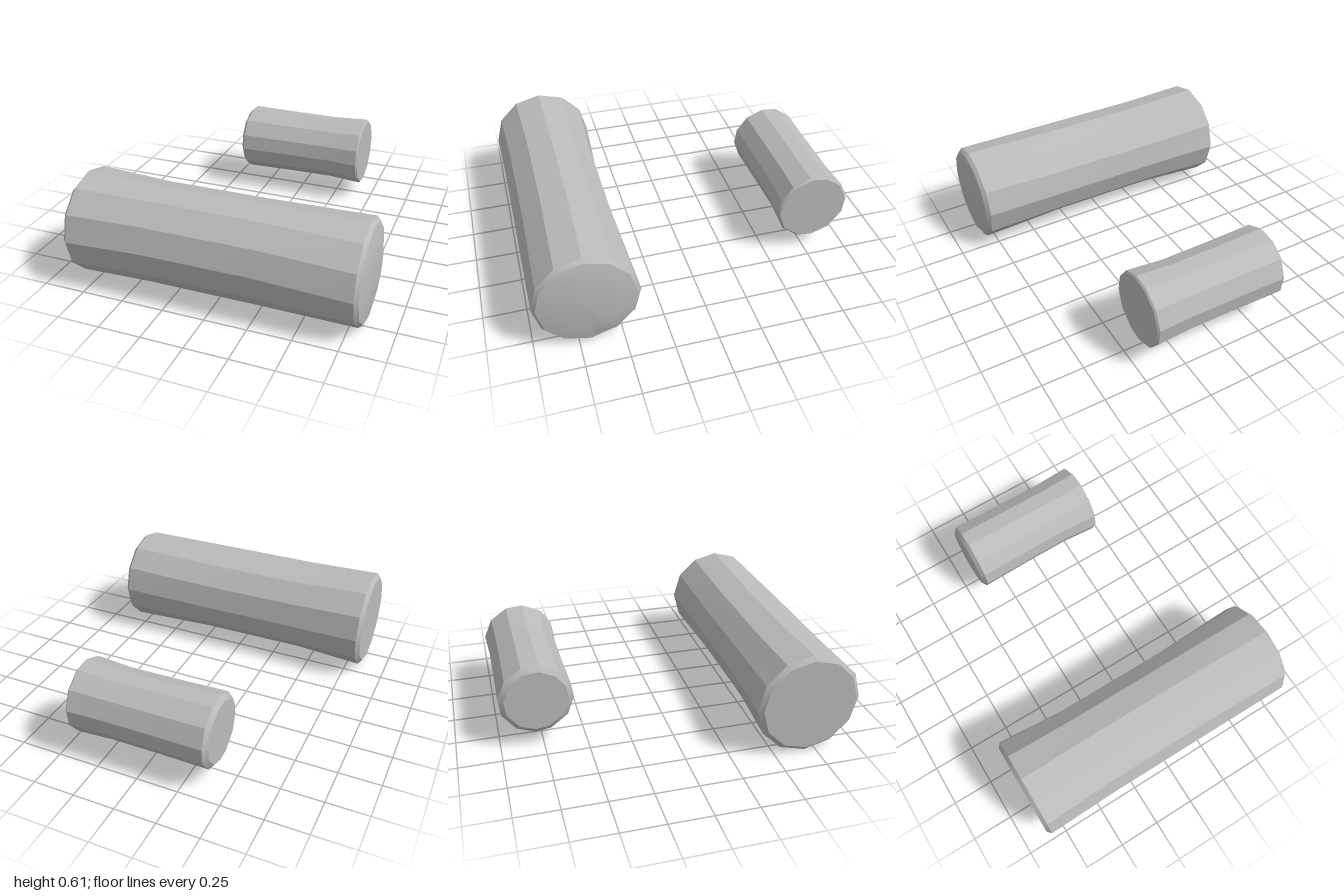
import * as THREE from 'three';
import { toCreasedNormals } from 'three/addons/utils/BufferGeometryUtils.js';

// Lofts an outline of [degrees, radius scale] along x.
// Each station is { x, y, z, r, twist, chip }; chip pulls in the outline point at chipIndex.
function loft(outline, stations, chipIndex = -1) {
  const n = outline.length;
  const positions = [];
  const index = [];
  for (const { x, y, z, r, twist = 0, chip = 1 } of stations) {
    outline.forEach(([deg, scale], i) => {
      const a = THREE.MathUtils.degToRad(deg + twist);
      const radius = r * scale * (i === chipIndex ? chip : 1);
      positions.push(x, y + radius * Math.sin(a), z + radius * Math.cos(a));
    });
  }
  // Sides
  for (let s = 0; s < stations.length - 1; s++) {
    for (let i = 0; i < n; i++) {
      const a = s * n + i;
      const b = s * n + (i + 1) % n;
      index.push(a, a + n, b + n, a, b + n, b);
    }
  }
  // End caps
  const last = (stations.length - 1) * n;
  const first = stations[0];
  const end = stations[stations.length - 1];
  positions.push(first.x, first.y, first.z, end.x, end.y, end.z);
  const c0 = last + n;
  for (let i = 0; i < n; i++) {
    const j = (i + 1) % n;
    index.push(c0, i, j, c0 + 1, last + j, last + i);
  }
  const geometry = new THREE.BufferGeometry();
  geometry.setAttribute('position', new THREE.Float32BufferAttribute(positions, 3));
  geometry.setIndex(index);
  return toCreasedNormals(geometry, THREE.MathUtils.degToRad(24));
}

export function createModel() {
  const group = new THREE.Group();
  const grey = new THREE.MeshStandardMaterial({ color: 0xbbbbbb });
  grey.name = 'grey';

  const add = (name, geometry) => {
    const mesh = new THREE.Mesh(geometry, grey);
    mesh.name = name;
    group.add(mesh);
  };

  // Long log: twelve sides, plus one mid-side point for the chip in its end
  const twelve = Array.from({ length: 12 }, (_, i) => [i * 30, 1]);
  twelve.splice(9, 0, [255, 0.966]);
  add('longLog', loft(twelve, [
    { x: -0.855, y: 0.312, z: 0.69, r: 0.28 },
    { x: -0.832, y: 0.312, z: 0.688, r: 0.307 },
    { x: -0.4, y: 0.313, z: 0.697, r: 0.29, twist: 3 },
    { x: 0.25, y: 0.313, z: 0.697, r: 0.29, twist: 3 },
    { x: 0.81, y: 0.308, z: 0.688, r: 0.298, twist: -1 },
    { x: 0.832, y: 0.308, z: 0.69, r: 0.278, twist: -1, chip: 0.86 },
    { x: 0.85, y: 0.308, z: 0.69, r: 0.19, twist: -1 },
  ], 9));

  // Short log: twelve uneven sides
  const angles = [-4, 22, 51, 82, 109, 141, 173, 201, 235, 265, 290, 325];
  const uneven = angles.map((deg) => [deg, 1]);
  add('shortLog', loft(uneven, [
    { x: -0.415, y: 0.314, z: -0.778, r: 0.185 },
    { x: -0.392, y: 0.314, z: -0.778, r: 0.216 },
    { x: -0.1, y: 0.314, z: -0.78, r: 0.211 },
    { x: 0.2, y: 0.314, z: -0.782, r: 0.209 },
    { x: 0.418, y: 0.314, z: -0.779, r: 0.222 },
    { x: 0.428, y: 0.314, z: -0.779, r: 0.212 },
  ]));

  return group;
}
